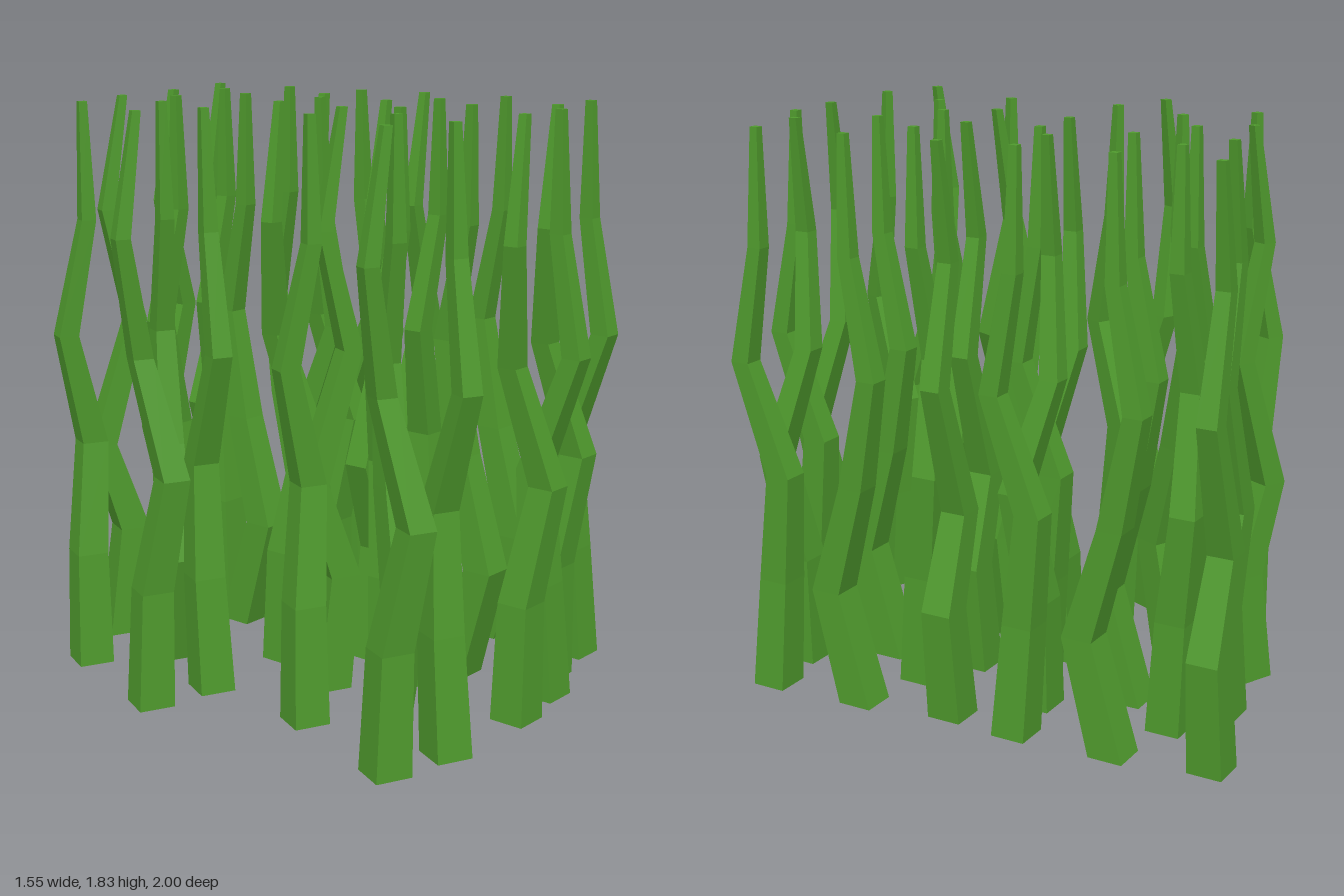
import * as THREE from 'three';

// Heights and square widths of the six rings along a blade
const HEIGHTS = [0, 0.37, 0.73, 1.09, 1.46, 1.83];
const WIDTHS = [0.114, 0.101, 0.084, 0.064, 0.047, 0.026];
const TWIST = THREE.MathUtils.degToRad(-17);

// Five blades of one tuft: root position [x, z] and the bend [x, z] at each ring
const BLADES = [
  { at: [0, 0], knee: 0.67, bend: [[0, 0], [0.04, -0.01], [-0.054, 0.017], [0.07, -0.019], [-0.016, 0.013], [0.045, -0.012]] },
  { at: [-0.116, 0.249], bend: [[0.005, 0.024], [0.005, 0.005], [0.027, -0.05], [-0.045, 0], [0.03, 0], [0.025, 0.005]] },
  { at: [0.153, 0.291], bend: [[-0.01, -0.02], [0.02, 0.08], [0, -0.025], [-0.005, -0.102], [0.005, -0.02], [0, -0.005]] },
  { at: [0.254, 0.577], bend: [[0.006, 0], [-0.01, -0.02], [-0.012, -0.056], [0.036, 0.064], [0.015, 0], [0.005, 0]] },
  { at: [0.074, 0.672], bend: [[-0.012, 0.005], [0, 0], [0.065, 0.033], [-0.02, -0.042], [-0.072, 0.02], [-0.02, -0.012]] },
];

// Tufts: x, z and turn in degrees
const TUFTS = [
  [0.125, -0.923, 0], [-0.19, -0.695, 0], [0.443, -0.113, 0], [0.125, 0.119, 0],
  [-0.466, -0.558, -24.5], [-0.148, 0.257, -24.5],
];

// Tapered square stalk whose rings are shifted sideways
function bladeGeometry({ bend, knee }) {
  const geo = new THREE.CylinderGeometry(Math.SQRT1_2, Math.SQRT1_2, 1, 4, 5, false, Math.PI / 4);
  const p = geo.attributes.position;
  const c = Math.cos(TWIST), s = Math.sin(TWIST);
  for (let i = 0; i < p.count; i++) {
    const ring = Math.round((p.getY(i) + 0.5) * 5);
    const x = p.getX(i) * WIDTHS[ring], z = p.getZ(i) * WIDTHS[ring];
    const y = ring === 2 && knee ? knee : HEIGHTS[ring];
    p.setXYZ(i, x * c - z * s + bend[ring][0], y, x * s + z * c + bend[ring][1]);
  }
  geo.computeVertexNormals();
  return geo;
}

export function createModel() {
  const model = new THREE.Group();
  model.name = 'tallGrass';
  const green = new THREE.MeshStandardMaterial({ color: 0x4f9a2d, flatShading: true });
  const geometries = BLADES.map(bladeGeometry);

  for (const [x, z, turn] of TUFTS) {
    const tuft = new THREE.Group();
    tuft.name = 'tuft';
    BLADES.forEach(({ at }, i) => {
      const blade = new THREE.Mesh(geometries[i], green);
      blade.name = 'blade';
      blade.position.set(at[0], 0, at[1]);
      tuft.add(blade);
    });
    tuft.position.set(x, 0, z);
    tuft.rotation.y = THREE.MathUtils.degToRad(turn);
    model.add(tuft);
  }
  return model;
}
